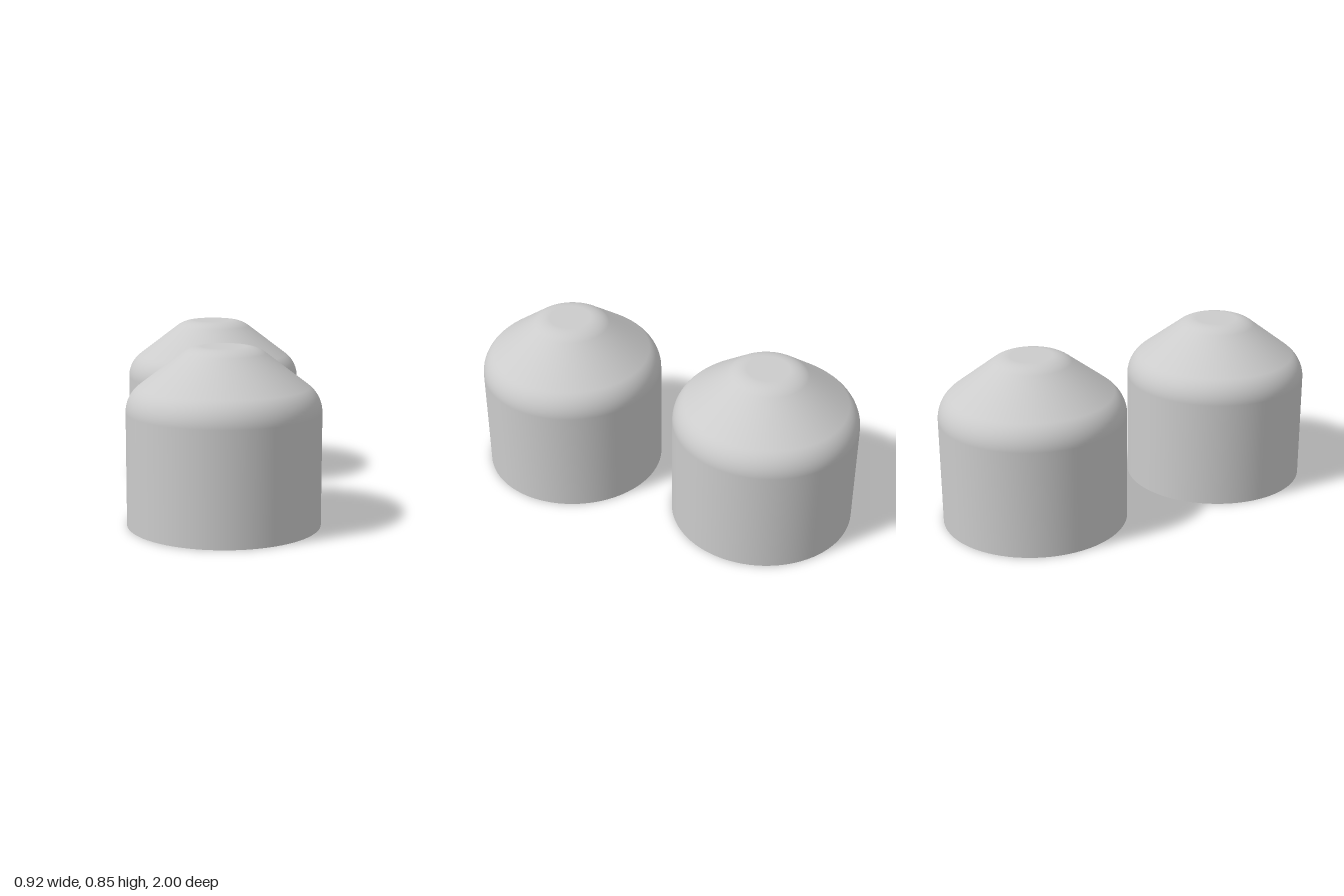
import * as THREE from 'three';

const RADIUS = 0.46, FILLET = 0.15, SPACING = 0.54;
const SLOPE = THREE.MathUtils.degToRad(53); // direction the cone face points

// Points along a fillet arc in the profile plane
function arc(cx, cy, from, to, steps) {
  return Array.from({ length: steps + 1 }, (_, i) => {
    const a = from + (to - from) * i / steps;
    return new THREE.Vector2(cx + FILLET * Math.cos(a), cy + FILLET * Math.sin(a));
  });
}

export function createModel() {
  const model = new THREE.Group();
  const material = new THREE.MeshStandardMaterial({ color: 0xcccccc });

  // Straight wall, rounded shoulder, cone, rounded rim, flat top
  const profile = [
    new THREE.Vector2(RADIUS, 0),
    ...arc(RADIUS - FILLET, 0.54, 0, SLOPE, 12),
    ...arc(0.105, 0.696, SLOPE, Math.PI / 2, 10),
    new THREE.Vector2(0, 0.846),
  ];
  const bodyGeometry = new THREE.LatheGeometry(profile, 96);
  const baseGeometry = new THREE.CircleGeometry(RADIUS, 96).rotateX(Math.PI / 2);

  // Matching pair, front and back
  for (const [name, side] of [['frontStud', 1], ['backStud', -1]]) {
    const stud = new THREE.Group();
    stud.name = name;
    const body = new THREE.Mesh(bodyGeometry, material);
    body.name = 'body';
    const base = new THREE.Mesh(baseGeometry, material);
    base.name = 'base';
    stud.add(body, base);
    stud.position.z = side * SPACING;
    model.add(stud);
  }
  return model;
}
